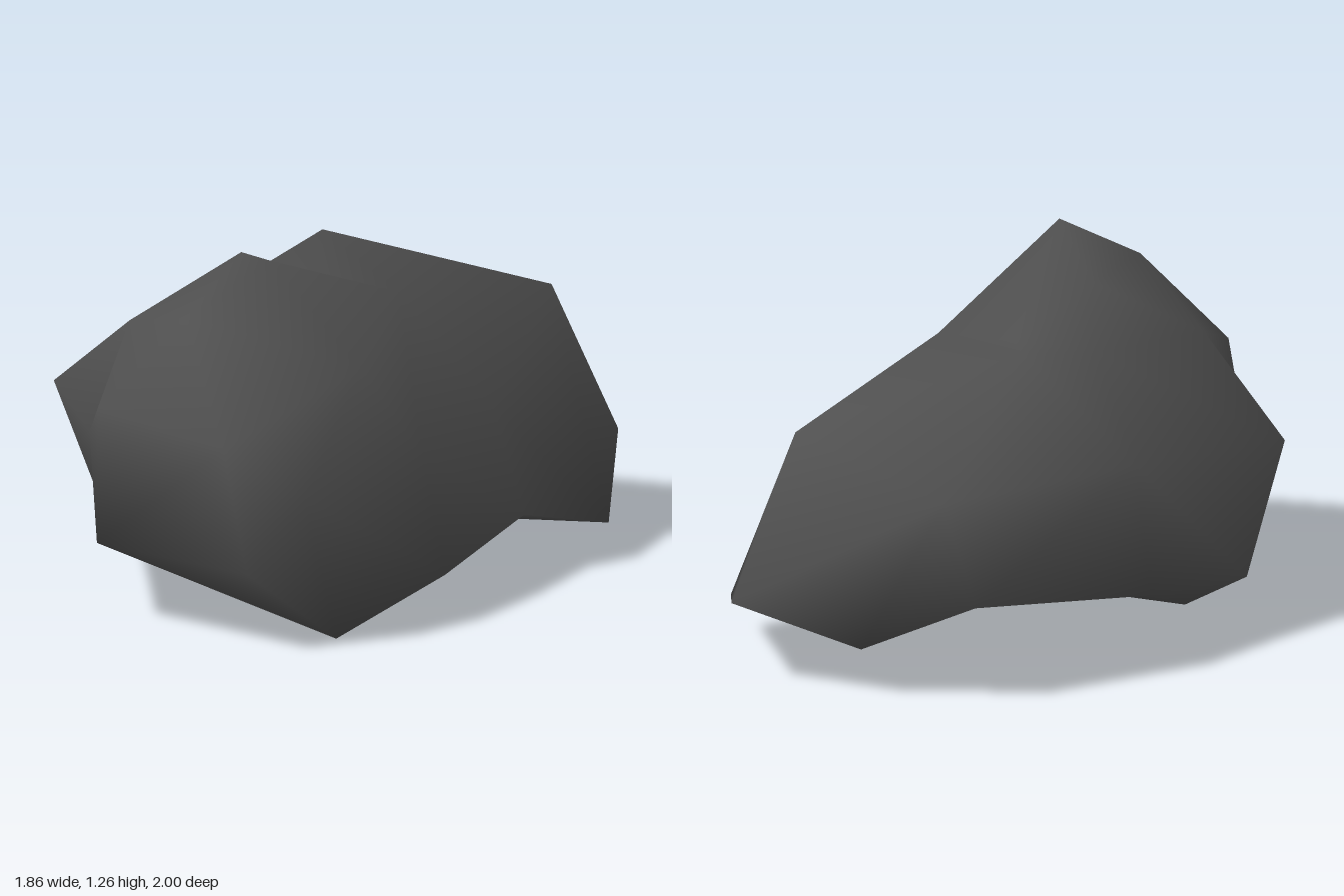
import * as THREE from 'three';
import { ConvexGeometry } from 'three/addons/geometries/ConvexGeometry.js';

// Corner points of the boulder, grouped by region
const corners = [
  // crest and upper shoulders
  [-0.11, 1.26, 0.48], [-0.27, 1.165, 0.10], [-0.37, 1.09, 0.64], [-0.63, 0.95, 0.25],
  [-0.08, 1.09, -0.44], [0.25, 1.01, -0.03], [0.67, 0.86, -0.68],
  // saddle between the two humps
  [-0.30, 1.0, -0.15], [-0.02, 1.01, -0.09],
  // front face
  [-0.665, 0.775, 0.70], [-0.20, 0.71, 0.90], [0.09, 0.56, 0.94], [-0.10, 0.30, 1.0], [0.20, 0.88, 0.44],
  // side with the hollow (+x)
  [0.41, 0.57, 0.42], [0.50, 0.18, 0.51], [0.57, 0.60, -0.08],
  [0.68, 0.23, -0.06], [0.93, 0.14, -0.30], [0.87, 0.30, -0.86], [0.80, 0.50, -0.49],
  // opposite side (-x)
  [-0.74, 0.60, 0.42], [-0.93, 0.65, 0.02], [-0.82, 0.22, -0.17], [-0.67, 0.29, 0.69],
  // back
  [-0.48, 0.73, -0.53], [-0.54, 0.29, -0.60], [0.14, 0.69, -0.88], [0.02, 0.36, -1.0],
  // underside, with a shallow crease running across it and out to the back
  [0.16, 0.0, 0.72], [0.42, 0.17, -0.92], [-0.62, 0.15, -0.28],
  [0.55, 0.21, -0.08], [0.10, 0.18, -0.15], [0.06, 0.29, -0.65],
].map((p) => new THREE.Vector3(...p));

// Stretches a skin over the corners: they are joined as a hull of their
// directions from the core, so hollows stay hollow.
function skinGeometry(points, core) {
  const round = points.map((p) => {
    const d = p.clone().sub(core);
    return d.multiplyScalar(Math.pow(d.length(), 0.05 - 1));
  });
  const hull = new ConvexGeometry(round).getAttribute('position');
  const index = [];
  const v = new THREE.Vector3();
  for (let i = 0; i < hull.count; i++) {
    v.fromBufferAttribute(hull, i);
    let best = 0;
    round.forEach((r, k) => {
      if (r.distanceToSquared(v) < round[best].distanceToSquared(v)) best = k;
    });
    index.push(best);
  }
  const geometry = new THREE.BufferGeometry().setFromPoints(points);
  geometry.setIndex(index);
  geometry.computeVertexNormals();
  return geometry;
}

export function createModel() {
  const stone = new THREE.MeshStandardMaterial({ color: 0x505050 });
  stone.name = 'dark stone';

  const boulder = new THREE.Mesh(skinGeometry(corners, new THREE.Vector3(0, 0.55, 0)), stone);
  boulder.name = 'boulder';

  const group = new THREE.Group();
  group.name = 'rock';
  group.add(boulder);
  return group;
}
